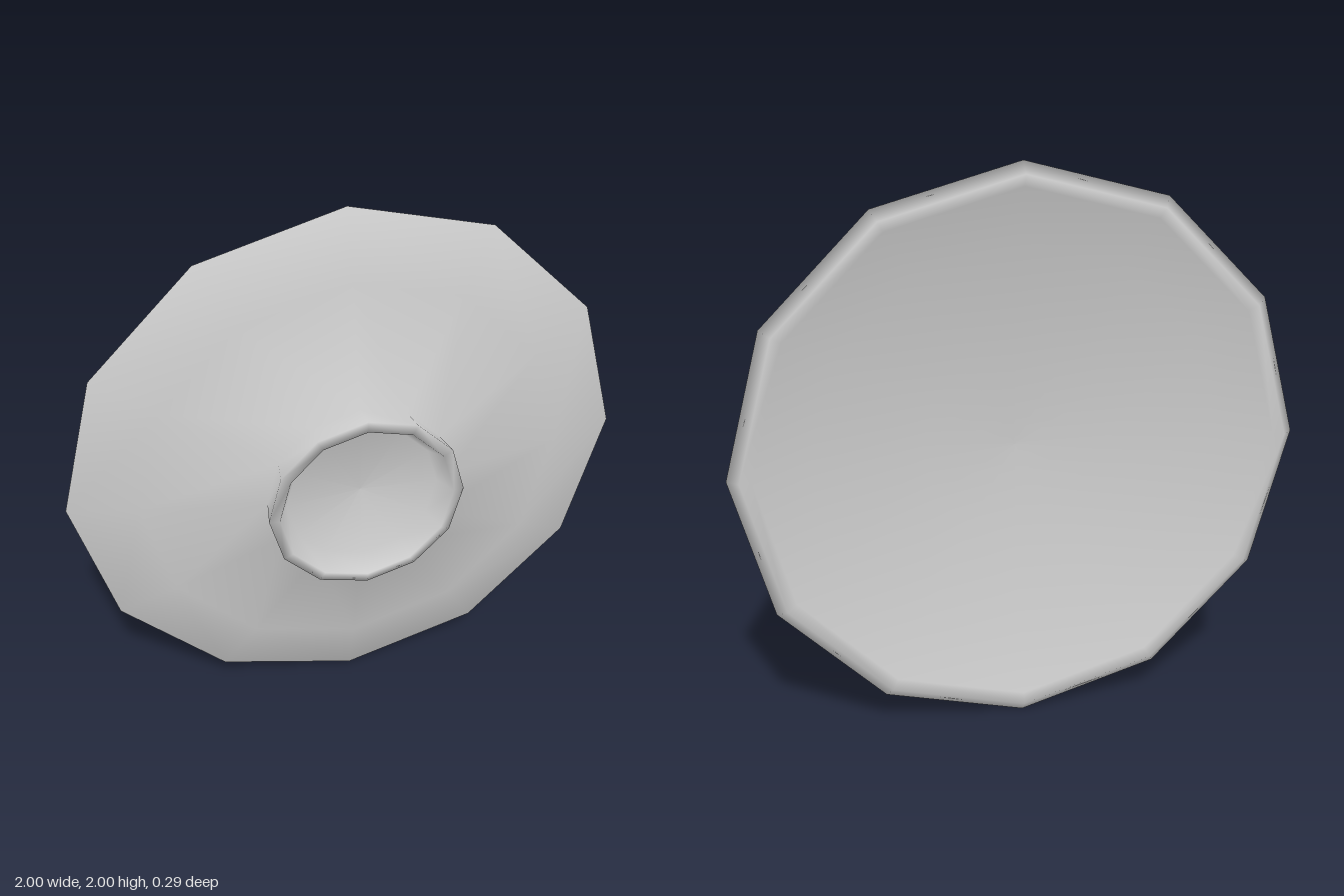
import * as THREE from 'three';

// Dish standing on its edge: a smooth-shaded 12-sided lathe turned about z.
export function createModel() {
  const group = new THREE.Group();
  group.name = 'dish';
  const material = new THREE.MeshStandardMaterial({ color: 0xcccccc });

  // [radius, z] from the centre of the hollow, round the rim, to the foot recess
  const profile = [
    [0, 0.0], [0.33, -0.01], [0.73, -0.08], [0.92, -0.135], // hollow at the back
    [0.96, -0.145], [1, -0.11],                             // rim
    [0.76, -0.045], [0.33, 0.04],                           // outer slope
    [0.347, 0.14], [0.31, 0.145],                           // foot ring
    [0.27, 0.07], [0, 0.045],                               // recess in the foot
  ].map(([r, z]) => new THREE.Vector2(r, z));

  const geometry = new THREE.LatheGeometry(profile, 12);
  geometry.rotateX(Math.PI / 2);
  const plate = new THREE.Mesh(geometry, material);
  plate.name = 'plate';
  plate.position.y = 1;
  group.add(plate);
  return group;
}
